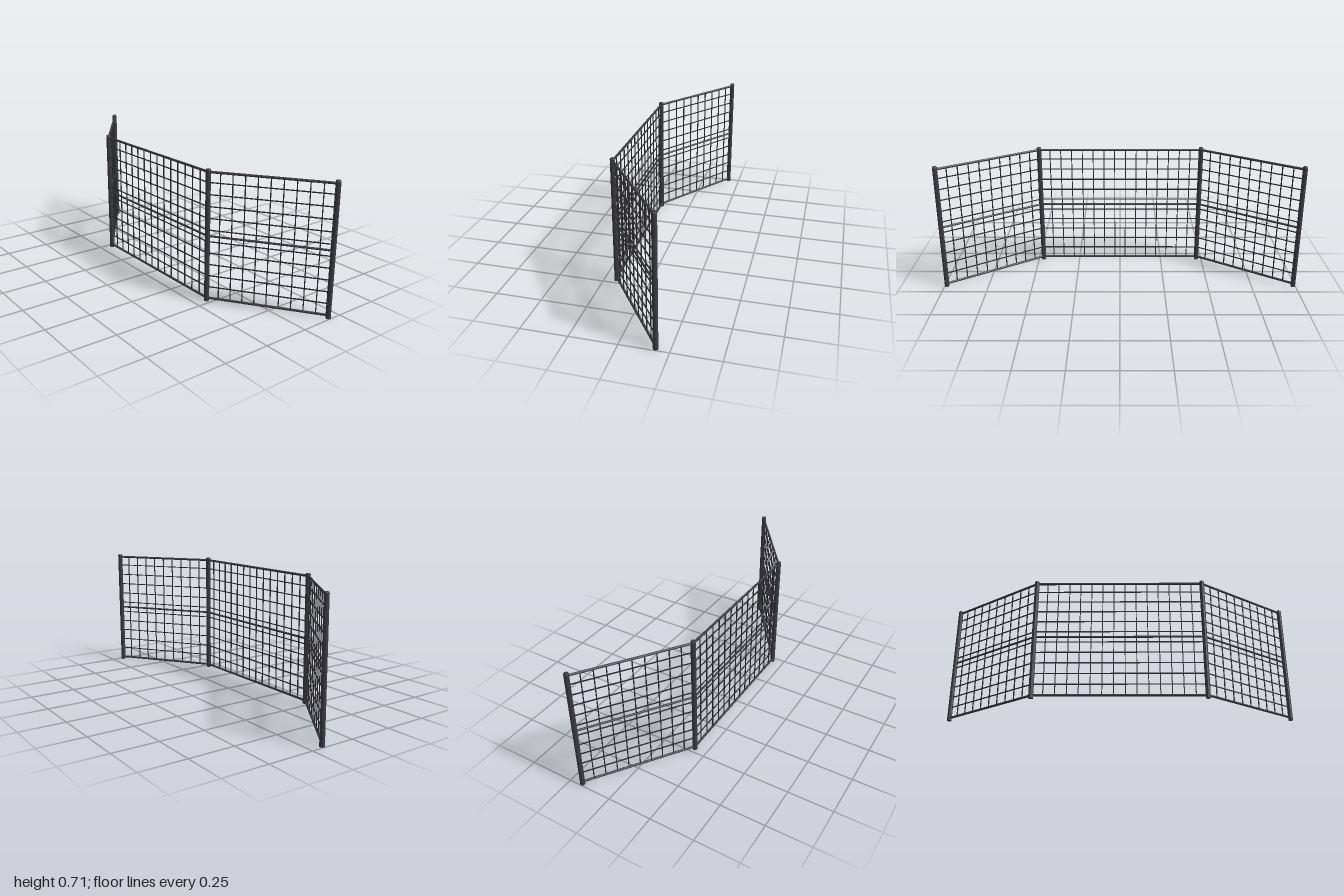
import * as THREE from 'three';

export function createModel() {
  const model = new THREE.Group();
  model.name = 'foldingFence';

  const frame = new THREE.MeshStandardMaterial({ color: 0x3c3b42 });
  frame.name = 'charcoal frame';
  const wire = new THREE.MeshStandardMaterial({ color: 0x2e2e33 });
  wire.name = 'dark wire';

  const corners = [[-0.9865, -0.1795], [-0.471, 0.1795], [0.471, 0.1795], [0.9865, -0.1795]];
  const divisions = [10, 15, 10];
  const bottom = 0.016, middle = 0.3615, top = 0.699;

  const add = (parent, name, geometry, material, x, y, z = 0) => {
    const mesh = new THREE.Mesh(geometry, material);
    mesh.name = name;
    mesh.position.set(x, y, z);
    parent.add(mesh);
  };

  // Posts with a small bevel at the top
  const profile = [[0, 0], [0.0135, 0], [0.0135, 0.709], [0.011, 0.714], [0, 0.714]]
    .map(([r, y]) => new THREE.Vector2(r, y));
  const postGeometry = new THREE.LatheGeometry(profile, 12).toNonIndexed();
  postGeometry.computeVertexNormals();
  for (const [x, z] of corners) add(model, 'post', postGeometry, frame, x, 0, z);

  // Panels span neighbouring posts
  divisions.forEach((count, i) => {
    const [x0, z0] = corners[i], [x1, z1] = corners[i + 1];
    const length = Math.hypot(x1 - x0, z1 - z0);
    const panel = new THREE.Group();
    panel.name = ['rightPanel', 'middlePanel', 'leftPanel'][i];
    panel.position.set((x0 + x1) / 2, 0, (z0 + z1) / 2);
    panel.rotation.y = -Math.atan2(z1 - z0, x1 - x0);
    model.add(panel);

    // Round rails
    for (const [name, y, r] of [['bottomRail', bottom, 0.0065], ['middleRail', middle, 0.0057], ['topRail', top, 0.0065]]) {
      add(panel, name, new THREE.CylinderGeometry(r, r, length, 10).rotateZ(Math.PI / 2), frame, 0, y);
    }

    // Mesh of thin square wires
    const across = new THREE.BoxGeometry(length, 0.005, 0.005);
    for (let k = 0; k < 10; k++) add(panel, 'horizontalWire', across, wire, 0, 0.0795 + k * 0.0628);
    const upright = new THREE.BoxGeometry(0.005, top - bottom, 0.005);
    for (let k = 1; k < count; k++) {
      add(panel, 'verticalWire', upright, wire, (k / count - 0.5) * length, (top + bottom) / 2);
    }
  });
  return model;
}
